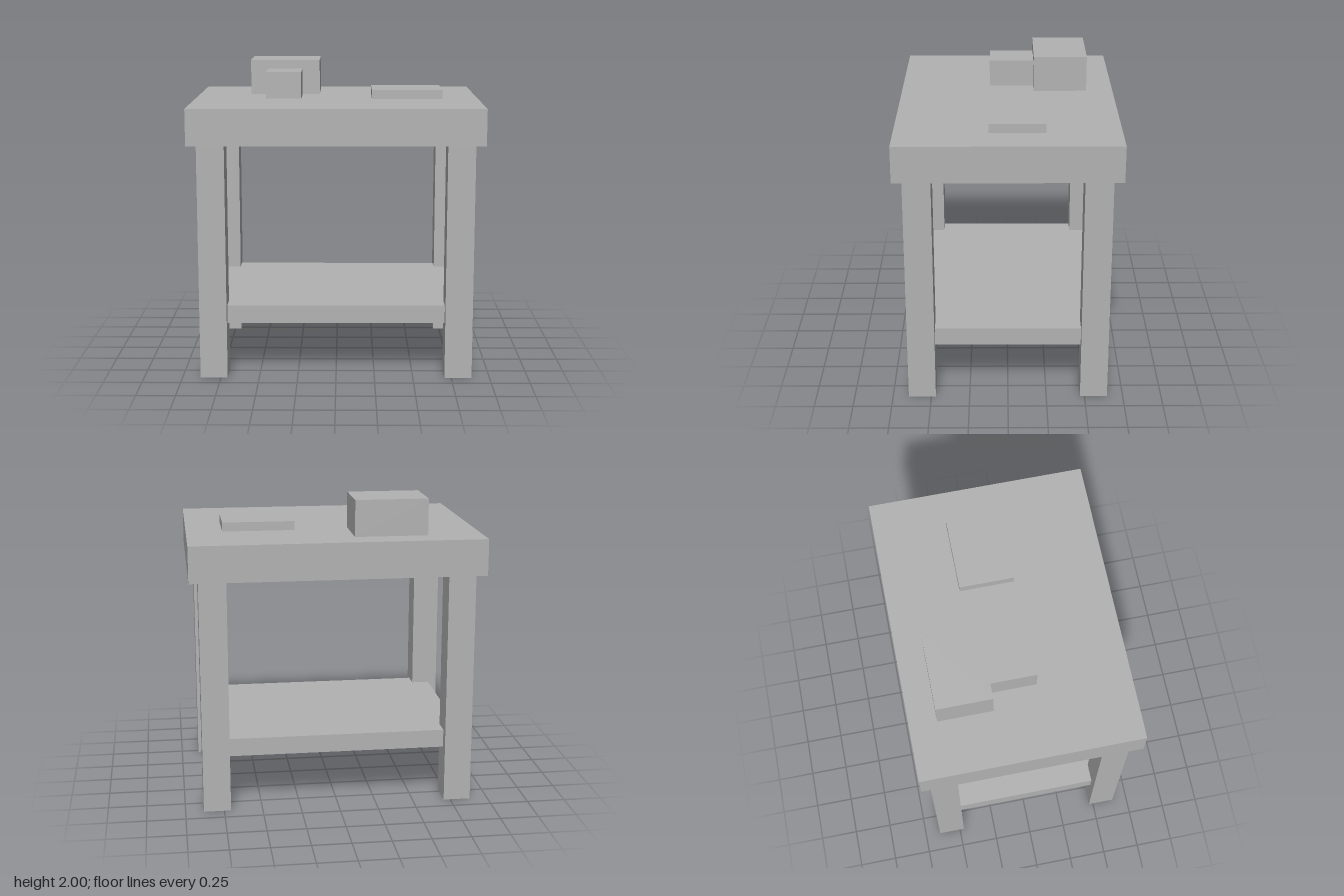
import * as THREE from 'three';

const U = 2 / 17; // design unit: the model is 17 units tall

export function createModel() {
  const group = new THREE.Group();
  group.name = 'table';
  const grey = new THREE.MeshStandardMaterial({ color: 0xb2b2b2 });
  grey.name = 'plain grey';

  // Box given by its lower and upper corners in design units
  function box(name, [x0, y0, z0], [x1, y1, z1]) {
    const geometry = new THREE.BoxGeometry((x1 - x0) * U, (y1 - y0) * U, (z1 - z0) * U);
    const mesh = new THREE.Mesh(geometry, grey);
    mesh.name = name;
    mesh.position.set((x0 + x1) / 2 * U, (y0 + y1) / 2 * U, (z0 + z1) / 2 * U);
    group.add(mesh);
  }

  // Thick top and lower shelf, whose corners run into the legs
  box('tableTop', [-8, 13, -6], [8, 15, 6]);
  box('shelf', [-7, 3, -5], [7, 4, 5]);

  // Four square legs
  for (const [side, x] of [['Left', 6.75], ['Right', -6.75]]) {
    for (const [end, z] of [['front', 4.75], ['back', -4.75]]) {
      box(`${end}${side}Leg`, [x - 0.75, 0, z - 0.75], [x + 0.75, 13, z + 0.75]);
    }
  }

  // Objects on the top
  box('largeBlock', [-5, 15, -4.5], [-1, 17, -1.5]);
  box('smallBlock', [-4, 15, -1.5], [-2, 16.5, 1]);
  box('flatSlab', [2, 15, -2], [6, 15.5, 1]);

  return group;
}
